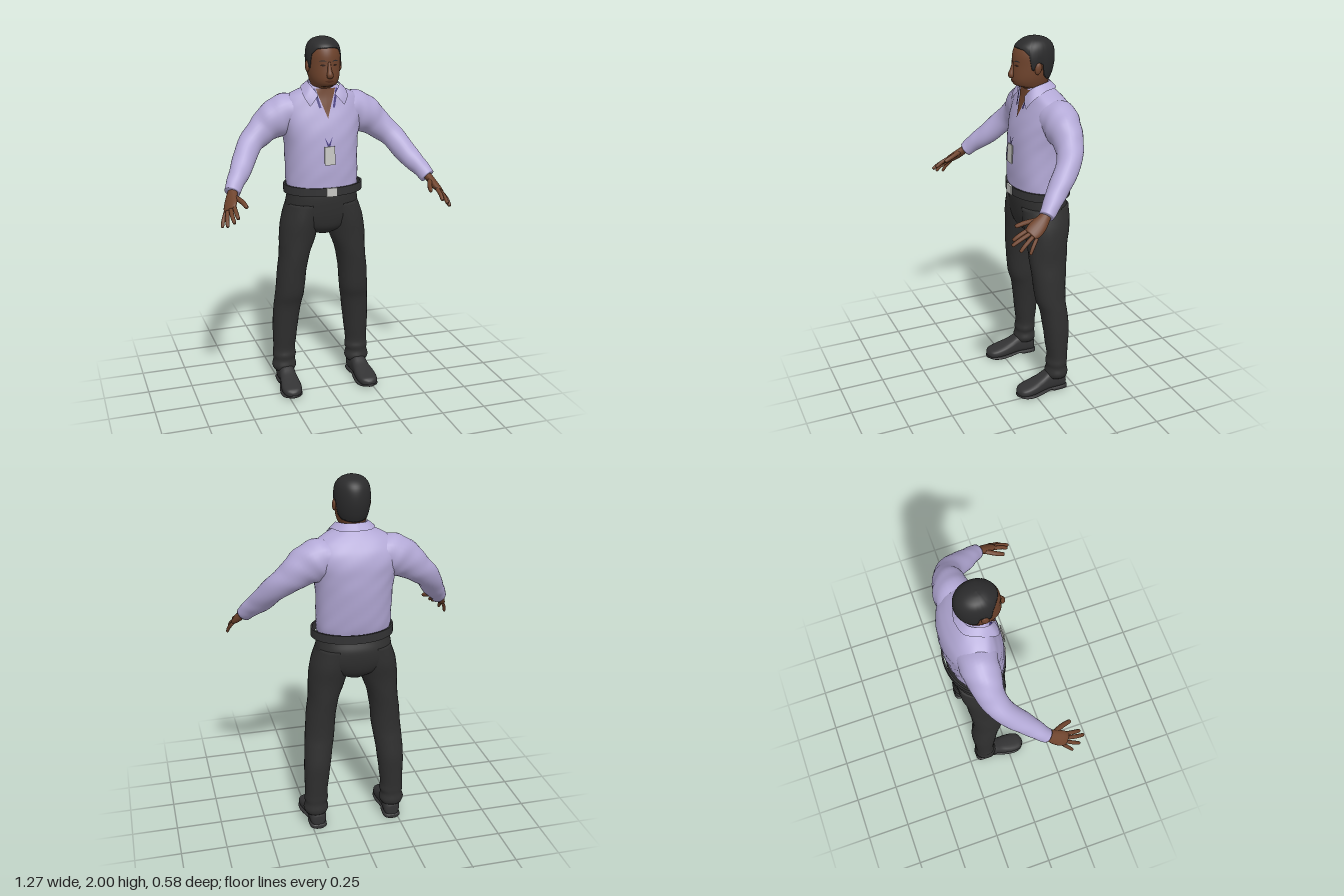
import * as THREE from 'three';

const mat = (name, color, side = THREE.FrontSide) =>
  Object.assign(new THREE.MeshStandardMaterial({ color, side }), { name });
const V3 = (x, y, z) => new THREE.Vector3(x, y, z);

// Smooth interpolation through rows of numbers, t in 0..1
function rowAt(rows, t) {
  const n = rows.length - 1, f = THREE.MathUtils.clamp(t, 0, 1) * n;
  const i = Math.min(Math.floor(f), n - 1), k = f - i;
  const a = rows[Math.max(i - 1, 0)], b = rows[i], c = rows[i + 1], d = rows[Math.min(i + 2, n)];
  return b.map((p, j) => {
    const m0 = (c[j] - a[j]) / 2, m1 = (d[j] - p) / 2, q = c[j];
    return (2 * p - 2 * q + m0 + m1) * k ** 3 + (-3 * p + 3 * q - 2 * m0 - m1) * k * k + m0 * k + p;
  });
}

// Surface from P(u, v); a closed one wraps in v and gets end caps
function grid(P, nu, nv, closed = false) {
  const pos = [], idx = [], w = closed ? nv : nv + 1;
  for (let i = 0; i <= nu; i++)
    for (let j = 0; j < w; j++) pos.push(...P(i / nu, j / nv).toArray());
  for (let i = 0; i < nu; i++)
    for (let j = 0; j < nv; j++) {
      const a = i * w + j, b = i * w + (j + 1) % w;
      idx.push(a, a + w, b + w, a, b + w, b);
    }
  if (closed) for (const i of [0, nu]) {
    const c = V3(0, 0, 0), id = pos.length / 3;
    for (let j = 0; j < w; j++) c.add(P(i / nu, j / nv));
    pos.push(...c.divideScalar(w).toArray());
    for (let j = 0; j < w; j++) {
      const a = i * w + j, b = i * w + (j + 1) % w;
      idx.push(...(i ? [id, b, a] : [id, a, b]));
    }
  }
  const g = new THREE.BufferGeometry();
  g.setAttribute('position', new THREE.Float32BufferAttribute(pos, 3));
  g.setIndex(idx);
  g.computeVertexNormals();
  return g;
}

const spow = (x, p) => Math.sign(x) * Math.abs(x) ** p;

// Level rings, rows [y, centre x, half width, front z, back z] from the bottom up
const rings = (rows, p = 1, fold = 0) => (t, v) => {
  const [y, cx, w, f, b] = rowAt(rows, t), a = v * Math.PI * 2;
  const k = 1 + fold * Math.sin(a * 7 + y * 23) * Math.sin(y * 31 + a * 2);
  return V3(cx + w * k * spow(Math.cos(a), p), y, (f + b) / 2 + (f - b) / 2 * k * spow(Math.sin(a), p));
};

// Sweep along a path, rows [x, y, z, radius across, radius along ref]
function sweep(rows, ref = V3(0, 0, 1), nu = 24, nv = 20, fold = 0) {
  const at = t => V3(...rowAt(rows, t));
  return grid((t, v) => {
    const r = rowAt(rows, t), a = v * Math.PI * 2;
    const T = at(t + 0.01).sub(at(t - 0.01)).normalize();
    const U = T.clone().cross(ref).normalize(), W = U.clone().cross(T);
    const k = 1 + fold * Math.sin(t * 34 + a) * Math.sin(a * 2 + t * 9);
    return V3(r[0], r[1], r[2]).addScaledVector(U, r[3] * k * Math.cos(a)).addScaledVector(W, r[4] * k * Math.sin(a));
  }, nu, nv, true);
}

function mirrored(geo) {
  const g = geo.clone().scale(-1, 1, 1), ix = g.index.array;
  for (let i = 0; i < ix.length; i += 3) [ix[i], ix[i + 1]] = [ix[i + 1], ix[i]];
  g.computeVertexNormals();
  return g;
}

// Thin patch laid on the front of a mesh, F(u, v) -> [x, y]
function decal(target, F, off, nu = 10, nv = 8) {
  const ray = new THREE.Raycaster();
  return grid((u, v) => {
    const [x, y] = F(u, v);
    ray.set(V3(x, y, 2), V3(0, 0, -1));
    const hit = ray.intersectObject(target)[0];
    return V3(x, y, (hit ? hit.point.z : -0.05) + off);
  }, nu, nv);
}

export function createModel() {
  const model = new THREE.Group();
  const skin = mat('skin', 0x6e432c), hair = mat('hair', 0x2b2b2c), shirt = mat('shirt', 0xb3a9d6);
  const collarCloth = mat('collarCloth', 0xb3a9d6, THREE.DoubleSide);
  const trousers = mat('trousers', 0x2f2f2f), leather = mat('leather', 0x333334);
  const metal = mat('metal', 0xc6c6c2), ribbon = mat('ribbon', 0x453a80, THREE.DoubleSide);
  const dark = mat('eyeDark', 0x2e1c14), lip = mat('lip', 0x58301f);
  const add = (name, geo, m) => {
    const mesh = new THREE.Mesh(geo, m);
    mesh.name = name;
    model.add(mesh);
    return mesh;
  };
  const pair = (name, geo, m) => { add(name + 'Left', geo, m); add(name + 'Right', mirrored(geo), m); };

  // Shirt body
  const torso = add('shirtBody', grid(rings([
    [1.165, 0, .193, .03, -.24], [1.22, 0, .2, .032, -.258], [1.3, 0, .2, .035, -.272], [1.42, 0, .203, .03, -.285],
    [1.5, 0, .215, .02, -.287], [1.57, 0, .23, .002, -.285], [1.63, 0, .228, -.018, -.268], [1.675, 0, .2, -.032, -.24],
    [1.705, 0, .155, -.038, -.215], [1.73, 0, .1, -.042, -.19], [1.75, 0, .07, -.045, -.17]], .88, .014), 50, 56, true), shirt);

  // Sleeves
  pair('sleeve', sweep([[.12, 1.605, -.15, .09, .1], [.19, 1.59, -.15, .107, .1], [.255, 1.56, -.148, .104, .092],
    [.325, 1.51, -.14, .082, .076], [.4, 1.445, -.11, .067, .064], [.47, 1.345, -.02, .06, .056],
    [.52, 1.28, .045, .048, .046], [.55, 1.237, .088, .042, .038]], undefined, 44, 28, .035), shirt);

  // Hands
  const palmUp = V3(.7, .68, .2);
  pair('palm', sweep([[.53, 1.262, .065, .028, .024], [.55, 1.236, .095, .03, .022], [.565, 1.208, .13, .04, .021],
    [.578, 1.185, .165, .042, .018], [.586, 1.172, .188, .034, .013]], palmUp, 14, 18), skin);
  const fingers = {
    thumb: [[.545, 1.225, .13], [.52, 1.21, .185], [.506, 1.192, .234], .013],
    indexFinger: [[.562, 1.192, .185], [.563, 1.17, .235], [.56, 1.146, .27], .011],
    middleFinger: [[.58, 1.178, .185], [.585, 1.155, .24], [.583, 1.13, .284], .011],
    ringFinger: [[.595, 1.165, .178], [.608, 1.135, .222], [.612, 1.104, .253], .0105],
    littleFinger: [[.604, 1.156, .162], [.622, 1.122, .19], [.631, 1.09, .208], .0095] };
  for (const [name, [a, b, c, r]] of Object.entries(fingers)) {
    const near = c.map((q, i) => q * .9 + b[i] * .1);
    pair(name, sweep([[...a, r, r], [...b, r, r], [...near, r * .8, r * .8], [...c, .002, .002]], palmUp, 12, 10), skin);
  }

  // Trousers
  add('trouserSeat', grid(rings([[.92, 0, .05, -.05, -.19], [.96, 0, .15, -.005, -.235], [1.02, 0, .208, .013, -.258],
    [1.09, 0, .205, .022, -.264], [1.14, 0, .198, .024, -.25], [1.18, 0, .194, .02, -.235]], .9), 24, 40, true), trousers);
  pair('trouserLeg', grid(rings([
    [.09, .222, .06, -.085, -.203], [.115, .222, .07, -.08, -.207], [.15, .222, .062, -.088, -.202], [.18, .22, .067, -.086, -.203],
    [.22, .22, .063, -.092, -.204], [.3, .216, .068, -.082, -.21], [.4, .21, .074, -.07, -.216], [.5, .2, .078, -.055, -.207],
    [.58, .19, .081, -.03, -.2], [.7, .18, .081, -.015, -.205], [.8, .165, .084, -.004, -.215], [.9, .146, .1, .002, -.225],
    [1, .128, .105, .012, -.245], [1.1, .105, .095, .015, -.25]], .95, .014), 64, 28, true), trousers);

  // Shoes: rows along z of half width and height, flat underneath
  const shoe = (rows, p) => grid((t, v) => {
    const [z, cx, w, h, y0] = rowAt(rows, t), a = -v * Math.PI * 2 + Math.PI;
    return V3(cx + w * spow(Math.cos(a), p), y0 + h * (.5 + .5 * spow(Math.sin(a), p)), z);
  }, 28, 24, true);
  const upper = shoe([[-.2, .217, .022, .06, .015], [-.185, .217, .043, .09, .012], [-.14, .218, .048, .112, .012],
    [-.09, .22, .046, .112, .012], [-.045, .222, .05, .088, .01], [.0, .225, .057, .072, .008], [.05, .227, .056, .056, .008],
    [.083, .228, .042, .044, .01], [.099, .228, .012, .022, .015]], .75);
  const sole = shoe([[-.206, .217, .022, .02, 0], [-.188, .217, .047, .028, 0], [-.12, .218, .048, .028, 0], [-.095, .219, .045, .018, .01],
    [-.03, .224, .057, .018, .003], [.03, .227, .062, .018, 0], [.075, .228, .05, .018, .003], [.102, .228, .015, .014, .009]], .6);
  pair('shoeUpper', upper, leather);
  pair('shoeSole', sole, leather);

  // Loose belt ring and buckle
  const ring = new THREE.Shape().absellipse(0, 0, .222, .166, 0, Math.PI * 2);
  ring.holes.push(new THREE.Path().absellipse(0, 0, .212, .157, 0, Math.PI * 2));
  add('belt', new THREE.ExtrudeGeometry(ring, { depth: .046, bevelEnabled: false, curveSegments: 40 })
    .rotateX(-Math.PI / 2).translate(.007, 1.157, -.118), leather);
  add('buckle', new THREE.BoxGeometry(.06, .048, .009).translate(.006, 1.18, .049), metal);

  // Neck and head
  const headRows = [[1.6, 0, .066, -.06, -.17], [1.7, 0, .065, -.046, -.165], [1.735, 0, .064, -.034, -.165],
    [1.747, 0, .066, .002, -.167], [1.757, 0, .07, .019, -.17], [1.78, 0, .078, .028, -.176], [1.81, 0, .084, .029, -.186],
    [1.86, 0, .088, .025, -.197], [1.91, 0, .088, .022, -.198], [1.95, 0, .08, .007, -.188], [1.977, 0, .06, -.025, -.162],
    [1.99, 0, .03, -.055, -.127], [1.993, 0, .003, -.088, -.094]];
  const headAt = rings(headRows);
  const head = add('head', grid(headAt, 60, 48, true), skin);
  const tOf = y => {
    let lo = 0, hi = 1;
    for (let i = 0; i < 24; i++) { const m = (lo + hi) / 2; rowAt(headRows, m)[0] < y ? lo = m : hi = m; }
    return lo;
  };

  // Hair cap, its lower edge runs from nape over the ears to the forehead
  const edge = [[-1, 1.775], [-.55, 1.785], [-.3, 1.81], [-.15, 1.872], [.12, 1.872], [.2, 1.835], [.36, 1.842],
    [.5, 1.915], [.75, 1.942], [1.01, 1.948]];
  const hairline = s => {
    const i = Math.max(1, edge.findIndex(e => e[0] >= s)), [a, b] = [edge[i - 1], edge[i]];
    return a[1] + (b[1] - a[1]) * (s - a[0]) / (b[0] - a[0]);
  };
  add('hair', grid((u, v) => {
    const t0 = tOf(hairline(Math.sin(v * Math.PI * 2)));
    const p = headAt(t0 + (1 - t0) * u, v), k = 1.02 + .035 * Math.min(1, u * 6);
    return V3(p.x * k, p.y + .007 * u, -.088 + (p.z + .088) * k);
  }, 26, 72, true), hair);

  // Ears, nose, eyes, brows and mouth
  pair('ear', new THREE.SphereGeometry(1, 14, 10).scale(.011, .031, .019).rotateX(-.2).translate(.09, 1.847, -.078), skin);
  add('nose', sweep([[0, 1.875, .018, .008, .008], [0, 1.835, .028, .011, .012], [0, 1.808, .036, .018, .015],
    [0, 1.796, .031, .014, .01]], undefined, 14, 14), skin);
  const lens = (cx, cy, w, h, bend = 0) => (u, v) =>
    [cx + (u - .5) * w, cy + ((v - .5) * h + bend) * Math.sin(Math.PI * u)];
  pair('eye', decal(head, lens(.033, 1.86, .028, .011), .002), dark);
  pair('brow', decal(head, lens(.034, 1.879, .04, .007, .004), .003), hair);
  add('mouth', decal(head, lens(0, 1.776, .05, .014), .003), lip);

  // Open neckline, lanyard and badge
  add('neckline', decal(torso, (u, v) => [(u - .5) * .11 * v, 1.575 + .155 * v], .004, 12, 14), skin);
  pair('lanyardStrap', decal(torso, (u, v) => [.031 + .026 * v + u * .013, 1.63 + .1 * v], .006, 3, 10), ribbon);
  add('lanyardClip', decal(torso, (u, v) => [-.005 + (u - .5) * (.014 + .03 * v), 1.43 + .04 * v * Math.abs(2 * u - 1) + .01 * v], .006), ribbon);
  add('badge', new THREE.BoxGeometry(.058, .1, .006).rotateX(-.06).translate(-.002, 1.38, .041), metal);

  // Collar, rows [top xyz, bottom xyz] from the nape to one tip
  const collar = [[0, 1.77, -.175, 0, 1.737, -.208], [.055, 1.768, -.155, .078, 1.735, -.185],
    [.082, 1.762, -.1, .118, 1.732, -.11], [.078, 1.745, -.05, .122, 1.69, -.034], [.046, 1.7, -.022, .095, 1.642, -.008]];
  add('collar', grid((u, v) => {
    const s = 2 * u - 1, r = rowAt(collar, Math.abs(s)), q = i => r[i] + (r[i + 3] - r[i]) * v;
    return V3(Math.sign(s) * q(0), q(1), q(2) + .006 * Math.sin(Math.PI * v) * s * s);
  }, 40, 5), collarCloth);

  return model;
}
